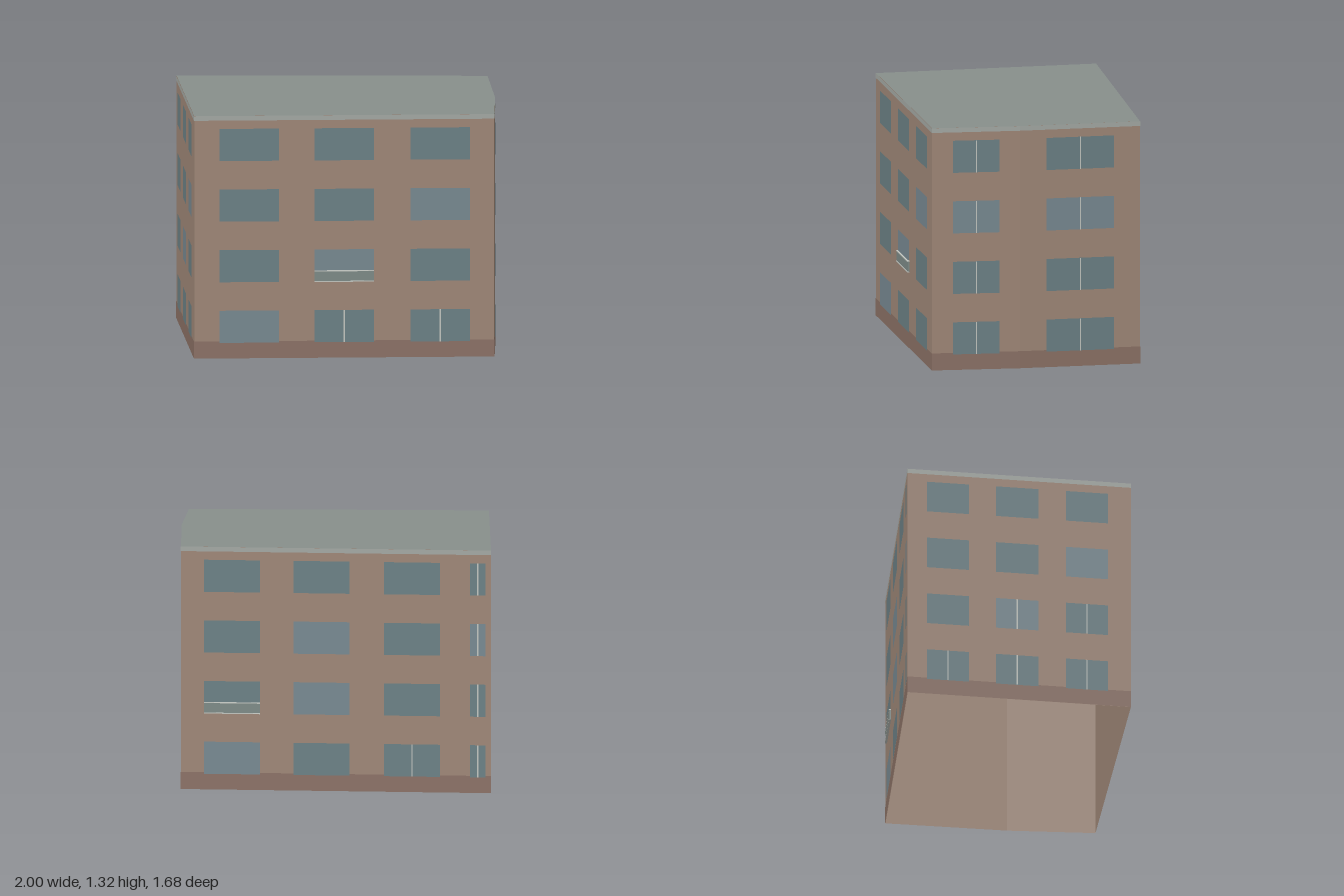
import * as THREE from 'three';

const material = (color, side = THREE.FrontSide) => {
  const m = new THREE.MeshStandardMaterial({ color });
  m.side = side;
  return m;
};

const HEIGHT = 1.32;
const ROWS = [0.085, 0.415, 0.745, 1.075]; // window sill heights
const WINDOW_HEIGHT = 0.175;

// Walls run left to right as seen from outside; cells are [row, column].
const WALLS = [
  { name: 'frontWall', from: [-0.485, 0.835], to: [0.995, 0.207], cols: [0.183, 0.5, 0.82], width: 0.198,
    bars: [[0, 1], [0, 2]], pale: [[0, 0], [1, 1], [2, 2]], balcony: [1, 1] },
  { name: 'leftWallFront', from: [0.995, 0.207], to: [0.832, -0.24], cols: [0.5], width: 0.53,
    bars: 'all', pale: [[2, 0]] },
  { name: 'leftWallBack', from: [0.832, -0.24], to: [0.562, -0.838], cols: [0.5], width: 0.56,
    bars: 'all', pale: [[2, 0]] },
  { name: 'backWall', from: [0.562, -0.838], to: [-0.867, -0.309], cols: [0.18, 0.496, 0.815], width: 0.198,
    bars: [[0, 2]], pale: [[0, 0], [1, 1], [2, 1]], balcony: [1, 0] },
  { name: 'backWallNarrow', from: [-0.867, -0.309], to: [-1, -0.26], cols: [0.5], width: 0.58,
    bars: 'all', pale: [[2, 0]] },
  { name: 'rightWall', from: [-1, -0.26], to: [-0.485, 0.835], cols: [0.18, 0.49, 0.803], width: 0.19,
    bars: [[0, 0], [0, 1], [0, 2], [1, 1], [1, 2]], pale: [[1, 1], [2, 2]] },
];

export function createModel() {
  const model = new THREE.Group();
  model.name = 'apartmentBuilding';

  const brick = material(0xa08878, THREE.DoubleSide);
  const base = material(0x8c7266);
  const trim = material(0xa5aaa5);
  const roofing = material(0x878f8b, THREE.DoubleSide);
  const glass = material(0x6c8186);
  const paleGlass = material(0x788a92);
  const frame = material(0xc4c8c2);
  const balustrade = material(0x7e8b88);

  // Flat panel on a wall: x is its centre, y0 its lower edge, z its offset outward
  const panel = (parent, name, mat, x, y0, w, h, z) => {
    const mesh = new THREE.Mesh(new THREE.PlaneGeometry(w, h), mat);
    mesh.position.set(x, y0 + h / 2, z);
    mesh.name = name;
    parent.add(mesh);
  };
  const bar = (parent, name, mat, x, y, z, w, h, d) => {
    const mesh = new THREE.Mesh(new THREE.BoxGeometry(w, h, d), mat);
    mesh.position.set(x, y, z);
    mesh.name = name;
    parent.add(mesh);
  };
  const has = (list, r, c) => list === 'all' || list.some(([a, b]) => a === r && b === c);

  for (const spec of WALLS) {
    const [x0, z0] = spec.from;
    const dx = spec.to[0] - x0, dz = spec.to[1] - z0;
    const length = Math.hypot(dx, dz);
    const wall = new THREE.Group();
    wall.name = spec.name;
    wall.position.set(x0, 0, z0);
    wall.rotation.y = Math.atan2(-dz, dx);
    model.add(wall);

    // Wall face, plinth and cornice band
    panel(wall, 'wallFace', brick, length / 2, 0, length, HEIGHT, 0);
    panel(wall, 'plinth', base, length / 2, 0, length + 0.002, 0.093, 0.002);
    panel(wall, 'cornice', trim, length / 2, 1.295, length + 0.002, 0.025, 0.002);

    // Windows with optional centre bar
    const w = spec.width * length;
    ROWS.forEach((y, r) => spec.cols.forEach((f, c) => {
      const x = f * length;
      const mat = has(spec.pale, r, c) ? paleGlass : glass;
      panel(wall, 'window', mat, x, y, w, WINDOW_HEIGHT, 0.004);
      if (has(spec.bars, r, c)) panel(wall, 'windowBar', frame, x, y, 0.006, WINDOW_HEIGHT, 0.006);
    }));

    // Shallow balcony front with rails
    if (spec.balcony) {
      const [r, c] = spec.balcony;
      const x = spec.cols[c] * length, y = ROWS[r];
      bar(wall, 'balconyPanel', balustrade, x, y + 0.03, 0.006, w, 0.056, 0.008);
      bar(wall, 'balconyTopRail', frame, x, y + 0.059, 0.007, w, 0.005, 0.012);
      bar(wall, 'balconyBottomRail', frame, x, y + 0.002, 0.007, w, 0.005, 0.012);
    }
  }

  // Flat roof over the footprint
  const outline = new THREE.Shape(WALLS.map(({ from: [x, z] }) => new THREE.Vector2(x, -z)));
  const roof = new THREE.Mesh(new THREE.ShapeGeometry(outline), roofing);
  roof.rotation.x = -Math.PI / 2;
  roof.position.y = HEIGHT;
  roof.name = 'roof';
  model.add(roof);

  return model;
}
